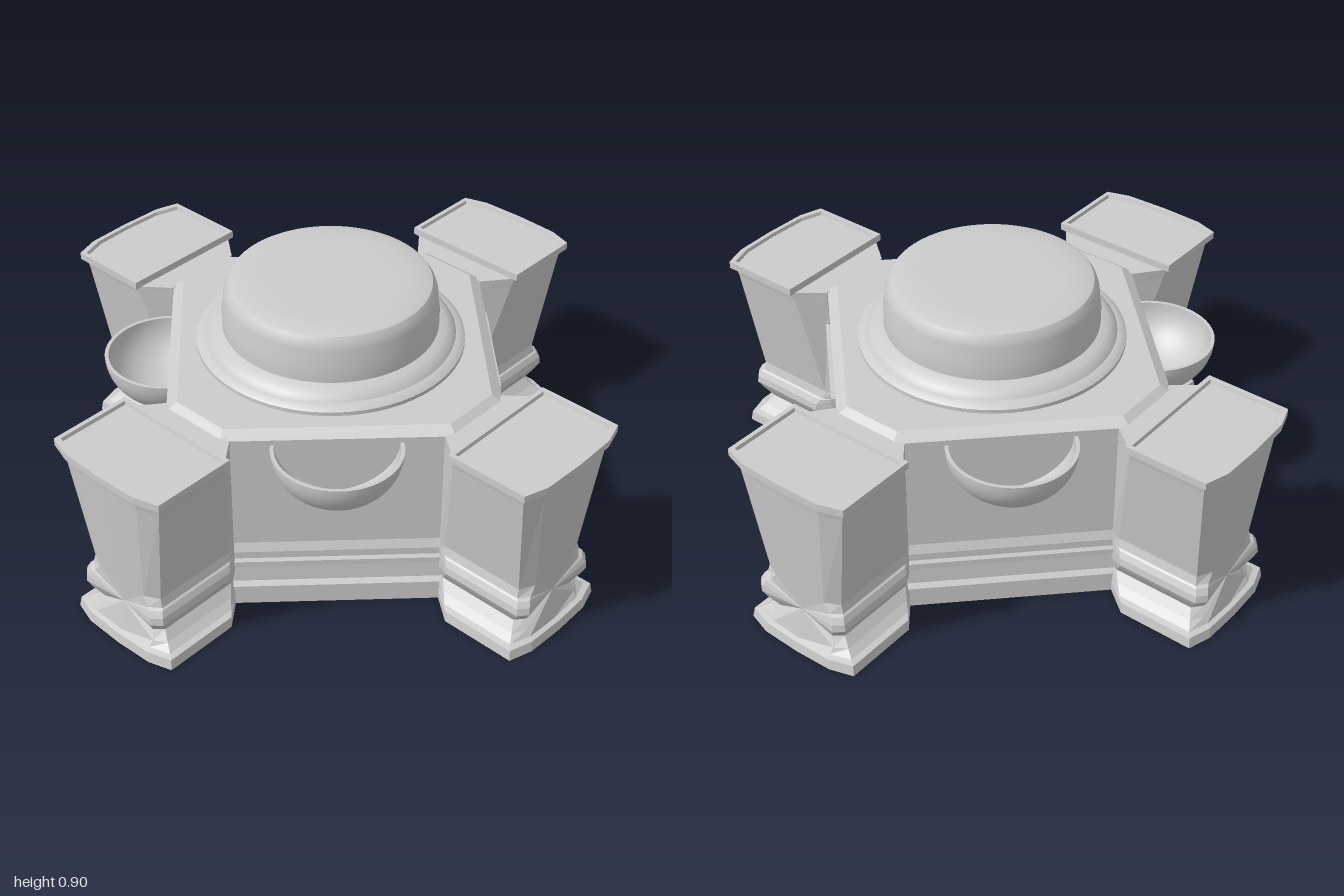
import * as THREE from 'three';
import { toCreasedNormals } from 'three/addons/utils/BufferGeometryUtils.js';

const material = new THREE.MeshStandardMaterial({ color: 0xcccccc, side: THREE.DoubleSide });

function addMesh(parent, name, geometry) {
  const mesh = new THREE.Mesh(geometry, material);
  mesh.name = name;
  parent.add(mesh);
  return mesh;
}

// Flat-faced skin over rings of [x, y, z] points, listed bottom to top
function loft(rings, capped) {
  const pos = [];
  const tri = (...pts) => pts.forEach((p) => pos.push(...p));
  for (let k = 0; k < rings.length - 1; k++) {
    const lo = rings[k], hi = rings[k + 1], n = lo.length;
    for (let i = 0; i < n; i++) {
      const j = (i + 1) % n;
      tri(lo[i], lo[j], hi[j]);
      tri(lo[i], hi[j], hi[i]);
    }
  }
  if (capped) {
    const top = rings[rings.length - 1];
    const mid = [0, 1, 2].map((a) => top.reduce((s, p) => s + p[a], 0) / top.length);
    top.forEach((p, i) => tri(mid, p, top[(i + 1) % top.length]));
  }
  const g = new THREE.BufferGeometry();
  g.setAttribute('position', new THREE.Float32BufferAttribute(pos, 3));
  g.computeVertexNormals();
  return g;
}

// Octagon with wide diagonal sides, grown outward by o
function octagon(o, y) {
  const c = 0.61 + o, s = 0.72 + Math.SQRT2 * o - c;
  return [[-s, y, c], [s, y, c], [c, y, s], [c, y, -s], [s, y, -c], [-s, y, -c], [-c, y, -s], [-c, y, s]];
}

// Pedestal section: w half width, f front, ch front corner cut; pinch gathers the front centre to one point
function pedestalRing([y, w, f, ch, pinch]) {
  const inner = 0.48 + w, end = Math.min(0.14, w - 0.01);
  const half = [[end, y, 0.6], [w, y, inner], [w, y, f - 0.03], [w - ch, y, f - 0.005]];
  const left = half.map(([x, h, z]) => [-x, h, z]);
  const centre = pinch ? [0, 0.15, 0.945] : [0, y, f];
  return [...left, centre, ...half.reverse()];
}

// Rim section: covers only the wide part of the pedestal
function rimRing([y, w, f, back]) {
  return [[-w, y, back], [-w, y, f - 0.03], [-w + 0.08, y, f - 0.005], [0, y, f],
    [w - 0.08, y, f - 0.005], [w, y, f - 0.03], [w, y, back]];
}

function createPedestal() {
  const g = new THREE.Group();
  g.name = 'pedestal';
  // Base plate, moulding gathered at the front, tapering shaft
  const profile = [
    [0, 0.215, 0.985, 0.08], [0.035, 0.21, 0.98, 0.08], [0.04, 0.19, 0.965, 0.07],
    [0.06, 0.165, 0.95, 0.04, true], [0.09, 0.14, 0.935, 0.03, true], [0.13, 0.165, 0.96, 0.03, true],
    [0.155, 0.178, 0.972, 0.03, true], [0.18, 0.175, 0.97, 0.03, true], [0.2, 0.165, 0.962, 0.03, true],
    [0.205, 0.158, 0.955, 0.035, true], [0.235, 0.15, 0.952, 0.05, true],
    [0.62, 0.207, 0.982, 0.07], [0.655, 0.215, 0.987, 0.075],
  ];
  addMesh(g, 'pedestalShaft', loft(profile.map(pedestalRing), true));
  const rim = [
    [0.64, 0.212, 0.985, 0.7], [0.655, 0.23, 1, 0.685], [0.68, 0.23, 1, 0.685],
    [0.68, 0.215, 0.985, 0.7], [0.668, 0.212, 0.982, 0.703],
  ];
  addMesh(g, 'pedestalRim', loft(rim.map(rimRing), true));
  return g;
}

function createBowl() {
  const pts = [], steps = 16;
  for (let i = 0; i <= steps; i++) {
    const a = (i / steps) * Math.PI / 2;
    pts.push(new THREE.Vector2(0.205 * Math.sin(a), -0.175 * Math.cos(a)));
  }
  for (let i = steps; i >= 0; i--) {
    const a = (i / steps) * Math.PI / 2;
    pts.push(new THREE.Vector2(0.193 * Math.sin(a), -0.163 * Math.cos(a)));
  }
  return toCreasedNormals(new THREE.LatheGeometry(pts, 32, -Math.PI / 2 - 0.12, Math.PI + 0.24), 0.6);
}

export function createModel() {
  const model = new THREE.Group();
  model.name = 'fountainBase';

  // Octagonal body with stepped plinth and bevelled top
  const bodyProfile = [
    [0.025, 0], [0.025, 0.07], [0.012, 0.085], [0.008, 0.14], [0.02, 0.15], [0.02, 0.17],
    [0.012, 0.18], [0.012, 0.205], [0, 0.235], [0, 0.63], [0.012, 0.637], [0.012, 0.65], [-0.022, 0.672],
  ];
  addMesh(model, 'body', loft(bodyProfile.map(([o, y]) => octagon(o, y)), true));

  // Round stepped dome
  const dome = [
    [0.435, 0.665], [0.435, 0.685], [0.42, 0.697], [0.405, 0.7], [0.395, 0.715], [0.375, 0.728],
    [0.35, 0.735], [0.35, 0.79], [0.345, 0.81], [0.343, 0.85], [0.336, 0.872], [0.325, 0.888],
    [0.305, 0.895], [0.24, 0.898], [0, 0.9],
  ].map(([r, y]) => new THREE.Vector2(r, y));
  addMesh(model, 'dome', toCreasedNormals(new THREE.LatheGeometry(dome, 64), 0.6));

  // Four pedestals on the short sides
  for (let i = 0; i < 4; i++) {
    const pedestal = createPedestal();
    pedestal.rotation.y = i * Math.PI / 2;
    model.add(pedestal);
  }

  // Half bowls on three of the long sides
  for (const i of [1, 2, 3]) {
    const a = Math.PI / 4 + i * Math.PI / 2;
    const bowl = addMesh(model, 'bowl', createBowl());
    bowl.position.set(0.53 * Math.sin(a), 0.622, 0.53 * Math.cos(a));
    bowl.rotation.y = a;
  }

  // Framed panel on the remaining long side
  const panel = new THREE.Group();
  panel.name = 'panel';
  panel.rotation.y = Math.PI / 4;
  const frame = new THREE.Shape();
  frame.moveTo(-0.21, 0.265).lineTo(0.21, 0.265).lineTo(0.21, 0.605).lineTo(-0.21, 0.605).closePath();
  const hole = new THREE.Path();
  hole.moveTo(-0.19, 0.281).lineTo(-0.19, 0.589).lineTo(0.19, 0.589).lineTo(0.19, 0.281).closePath();
  frame.holes.push(hole);
  const frameMesh = addMesh(panel, 'panelFrame', new THREE.ExtrudeGeometry(frame, { depth: 0.035, bevelEnabled: false }));
  frameMesh.position.z = 0.5;
  const plate = addMesh(panel, 'panelPlate', new THREE.BoxGeometry(0.38, 0.31, 0.025));
  plate.position.set(0, 0.435, 0.514);
  model.add(panel);

  return model;
}
